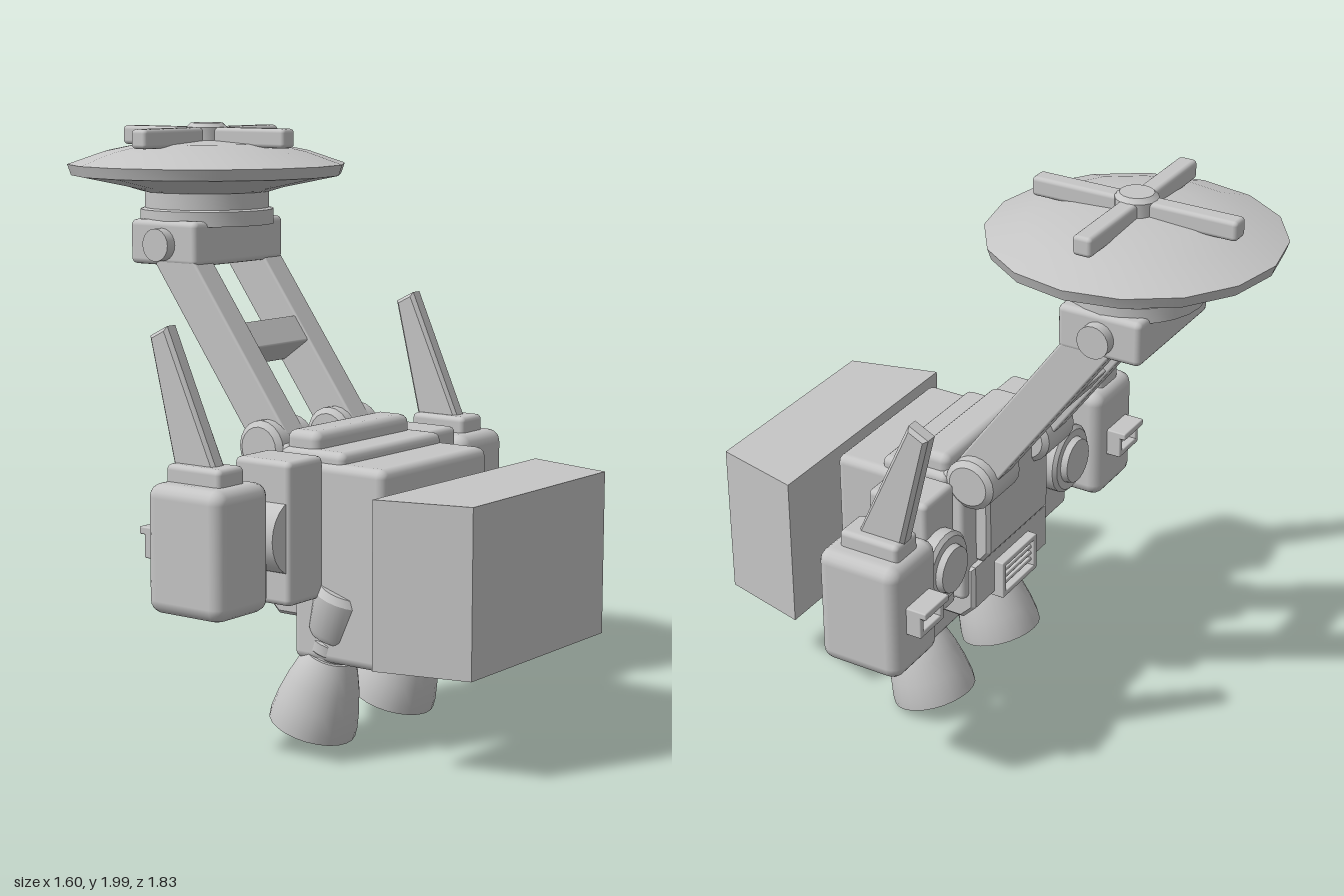
import * as THREE from 'three';
import { toCreasedNormals } from 'three/addons/utils/BufferGeometryUtils.js';
import { RoundedBoxGeometry } from 'three/addons/geometries/RoundedBoxGeometry.js';

const grey = new THREE.MeshStandardMaterial({ color: 0xc6c6c6 });
grey.name = 'light grey';

function add(parent, name, geometry, x = 0, y = 0, z = 0) {
  const mesh = new THREE.Mesh(geometry, grey);
  mesh.name = name;
  mesh.position.set(x, y, z);
  parent.add(mesh);
  return mesh;
}

// Box given by its ranges, with softened edges
function block(parent, name, [x0, x1], [y0, y1], [z0, z1], r = 0.015) {
  const g = new RoundedBoxGeometry(x1 - x0, y1 - y0, z1 - z0, 2, r);
  return add(parent, name, g, (x0 + x1) / 2, (y0 + y1) / 2, (z0 + z1) / 2);
}

// Lathe from [radius, height] pairs, keeping hard rims sharp
function turned(profile, sides) {
  const g = new THREE.LatheGeometry(profile.map(([r, y]) => new THREE.Vector2(r, y)), sides);
  return toCreasedNormals(g, 0.55);
}

// Side outline of [z, y] pairs, extruded across x
function sidePlate(outline, width, bevel) {
  const shape = new THREE.Shape(outline.map(([z, y]) => new THREE.Vector2(-z, y)));
  const g = new THREE.ExtrudeGeometry(shape, {
    depth: width - 2 * bevel, bevelEnabled: bevel > 0, bevelSegments: 1,
    bevelSize: bevel, bevelThickness: bevel, bevelOffset: -bevel,
  });
  return g.translate(0, 0, bevel - width / 2).rotateY(Math.PI / 2);
}

function buildBody(model) {
  const body = new THREE.Group();
  body.name = 'body';
  model.add(body);
  block(body, 'chestBlock', [-0.3, 0.3], [0.285, 0.94], [0.16, 0.52], 0.03);
  block(body, 'backBlock', [-0.28, 0.28], [0.5, 0.95], [0.03, 0.3], 0.02);
  block(body, 'shoulderDeck', [-0.28, 0.28], [0.88, 0.975], [0.09, 0.35], 0.025);
  block(body, 'topRidge', [-0.26, 0.26], [0.94, 1.03], [0.1, 0.235], 0.03);
  // Stepped rear panels, narrowing at the lower edge
  add(body, 'rearPanel', sidePlate([[0.1, 0.62], [0.1, 0.95], [-0.02, 0.95], [-0.02, 0.66], [0.01, 0.62]], 0.4, 0.012));
  add(body, 'lowerRearPanel', sidePlate([[0.2, 0.41], [0.2, 0.62], [0.01, 0.62], [0.01, 0.46], [0.06, 0.41]], 0.5, 0.012));
  // Vent with slats
  for (const s of [-1, 1]) {
    block(body, 'ventSide', [s * 0.105 - 0.01, s * 0.105 + 0.01], [0.44, 0.58], [-0.025, 0.04], 0.004);
    block(body, 'ventEdge', [-0.115, 0.115], [0.51 + s * 0.06 - 0.01, 0.51 + s * 0.06 + 0.01], [-0.025, 0.04], 0.004);
  }
  for (let i = 0; i < 4; i++) {
    const slat = block(body, 'ventSlat', [-0.1, 0.1], [0.472 + i * 0.025, 0.484 + i * 0.025], [-0.015, 0.02], 0.003);
    slat.rotation.x = 0.4;
  }
  // Floating tapered block ahead of the chest
  const plan = new THREE.Shape([[-0.47, 0.6], [0.47, 0.6], [0.39, 0.915], [-0.39, 0.915]].map((p) => new THREE.Vector2(...p)));
  const front = new THREE.ExtrudeGeometry(plan, { depth: 0.54, bevelEnabled: false }).rotateX(Math.PI / 2);
  add(model, 'frontBlock', front, 0, 0.885, 0);
}

function buildSide(model, s) {
  const side = new THREE.Group();
  side.name = s > 0 ? 'leftSide' : 'rightSide';
  model.add(side);
  const span = (a, b) => (s > 0 ? [a, b] : [-b, -a]);

  // Shoulder and its round joint
  block(side, 'shoulder', span(0.29, 0.47), [0.5, 0.965], [0.055, 0.28], 0.02);
  const joint = turned([[0, 0], [0.125, 0], [0.125, 0.25], [0.112, 0.262], [0.085, 0.262], [0.08, 0.285], [0, 0.285]], 24);
  add(side, 'shoulderJoint', joint.rotateX(-Math.PI / 2), s * 0.415, 0.72, 0.265);

  // Side pod with its fin
  block(side, 'pod', span(0.54, 0.8), [0.5, 0.915], [-0.037, 0.265], 0.045);
  block(side, 'finBase', span(0.61, 0.735), [0.88, 0.97], [-0.005, 0.215], 0.018);
  add(side, 'fin', sidePlate([[0.17, 0.95], [0, 0.95], [-0.1, 1.36], [-0.03, 1.395]], 0.062, 0.012), s * 0.67);
  // Hollow handle frame at the back of the pod
  block(side, 'handleTop', span(0.6, 0.74), [0.735, 0.76], [-0.11, 0], 0.005);
  block(side, 'handleBottom', span(0.6, 0.74), [0.66, 0.682], [-0.09, 0], 0.005);
  for (const x of [0.61, 0.73]) {
    block(side, 'handleEnd', span(x - 0.01, x + 0.01), [0.66, 0.76], [-0.09, 0], 0.005);
  }
  block(side, 'handleCore', span(0.61, 0.73), [0.67, 0.75], [-0.06, 0], 0.005);

  // Pivot and lifting arm
  const pivot = turned([[0, -0.1], [0.07, -0.1], [0.09, -0.085], [0.09, 0.085], [0.07, 0.1], [0, 0.1]], 20);
  add(side, 'armPivot', pivot.rotateZ(Math.PI / 2), s * 0.185, 0.96, 0.01);
  block(side, 'pivotMount', span(0.09, 0.27), [0.88, 0.98], [0, 0.12], 0.015);
  const arm = add(side, 'arm', new RoundedBoxGeometry(0.1, 0.76, 0.145, 2, 0.008), s * 0.185, 1.27, -0.192);
  arm.rotation.x = -0.625;

  // Tilted thruster, hollow at the bottom
  const thruster = new THREE.Group();
  thruster.name = 'thruster';
  thruster.position.set(s * 0.228, 0.052, 0.187);
  thruster.rotation.x = 0.3;
  side.add(thruster);
  add(thruster, 'nozzle', turned([
    [0, 0.2], [0.06, 0.2], [0.1, 0.12], [0.125, 0.03], [0.134, 0], [0.146, 0],
    [0.146, 0.03], [0.137, 0.09], [0.12, 0.16], [0.1, 0.22], [0.08, 0.255], [0, 0.255],
  ], 24));
  add(thruster, 'neck', turned([
    [0, 0.24], [0.068, 0.24], [0.068, 0.265], [0.078, 0.275], [0.078, 0.31], [0.07, 0.32], [0.07, 0.345], [0, 0.345],
  ], 20));
  add(thruster, 'thrusterHousing', turned([[0, 0.325], [0.085, 0.325], [0.097, 0.345], [0.108, 0.47], [0.095, 0.495], [0, 0.495]], 20));
}

function buildHead(model) {
  const head = new THREE.Group();
  head.name = 'rotorHead';
  head.position.z = -0.437;
  model.add(head);
  block(head, 'yoke', [-0.237, 0.237], [1.53, 1.68], [-0.145, 0.145], 0.02);
  for (const s of [-1, 1]) {
    add(head, 'yokeBolt', new THREE.CylinderGeometry(0.055, 0.055, 0.06, 20).rotateZ(Math.PI / 2), s * 0.245, 1.6, 0);
  }
  add(head, 'turntable', turned([[0, 1.66], [0.228, 1.66], [0.228, 1.71], [0.213, 1.715], [0.213, 1.8], [0, 1.8]], 24));
  // Wide dish with a shallow domed top
  add(head, 'dish', turned([
    [0, 1.77], [0.22, 1.77], [0.27, 1.785], [0.462, 1.825], [0.475, 1.862], [0.35, 1.905], [0.22, 1.932], [0, 1.945],
  ], 16));
  // Crossed blades and hub
  for (let i = 0; i < 4; i++) {
    const blade = add(head, 'blade', new RoundedBoxGeometry(0.065, 0.065, 0.355, 2, 0.014).translate(0, 0, 0.1775), 0, 1.953, 0);
    blade.rotation.y = (i * Math.PI) / 2;
  }
  add(head, 'hub', turned([[0, 1.9], [0.07, 1.9], [0.07, 1.985], [0.055, 2], [0, 2]], 16));
}

export function createModel() {
  const model = new THREE.Group();
  model.name = 'flightPack';
  buildBody(model);
  for (const s of [1, -1]) buildSide(model, s);
  // Crossbar between the arms
  const bar = block(model, 'crossbar', [-0.15, 0.15], [1.22, 1.32], [-0.255, -0.125], 0.006);
  bar.rotation.x = -0.625;
  buildHead(model);
  return model;
}
